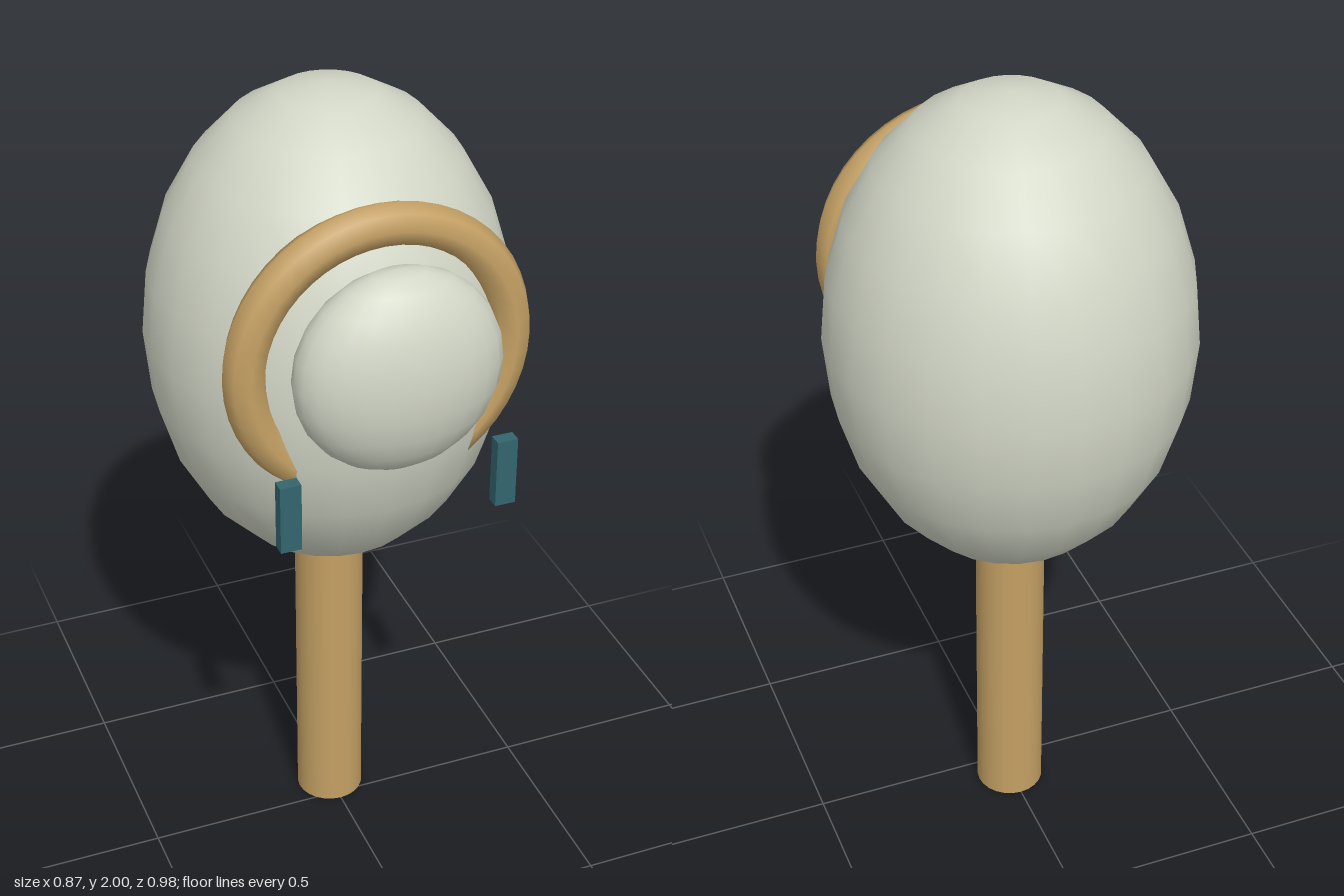
import * as THREE from 'three';

export function createModel() {
  const model = new THREE.Group();
  const paint = (name, color) => {
    const m = new THREE.MeshStandardMaterial({ color });
    m.name = name;
    return m;
  };
  const shell = paint('pale grey', 0xd2d6c6);
  const wood = paint('tan', 0xc4a064);
  const teal = paint('dark teal', 0x34656d);

  const add = (name, geometry, material, x, y, z) => {
    const mesh = new THREE.Mesh(geometry, material);
    mesh.name = name;
    mesh.position.set(x, y, z);
    model.add(mesh);
    return mesh;
  };
  const ellipsoid = (rx, ry, rz) => new THREE.SphereGeometry(1, 24, 12).scale(rx, ry, rz);

  // Egg-shaped head on a straight handle
  add('head', ellipsoid(0.433, 0.6, 0.433), shell, 0, 1.4, -0.06);
  add('handle', new THREE.CylinderGeometry(0.085, 0.085, 0.82, 24), wood, 0, 0.41, -0.06);

  // Flattened dome on the front, framed by a ring whose lower part sinks into the head
  add('frontDome', ellipsoid(0.243, 0.243, 0.13), shell, 0, 1.5, 0.36);
  add('frontRing', new THREE.TorusGeometry(0.315, 0.05, 8, 48), wood, 0, 1.48, 0.25);

  // Small tabs on either side below the ring
  for (const side of [-1, 1]) {
    add(side > 0 ? 'leftTab' : 'rightTab', new THREE.BoxGeometry(0.05, 0.17, 0.032), teal,
      side * 0.26, 1.187, 0.371);
  }
  return model;
}
